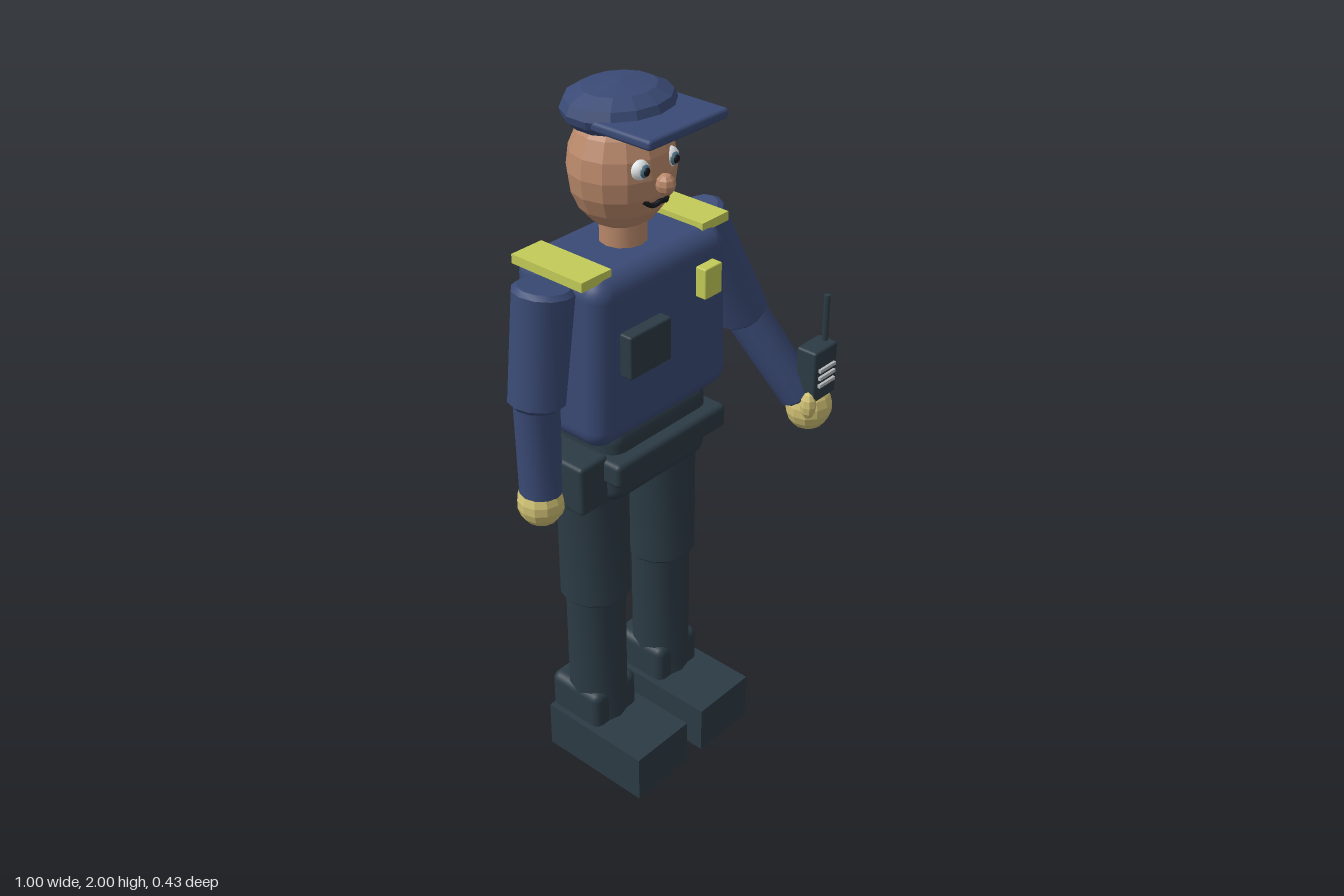
import * as THREE from 'three';
import { toCreasedNormals } from 'three/addons/utils/BufferGeometryUtils.js';
import { RoundedBoxGeometry } from 'three/addons/geometries/RoundedBoxGeometry.js';

const mat = (name, color) => Object.assign(new THREE.MeshStandardMaterial({ color }), { name });

export function createModel() {
  const model = new THREE.Group();
  model.name = 'officer';
  const navy = mat('navy cloth', 0x3a4a75);
  const dark = mat('dark cloth', 0x2c3b45);
  const skin = mat('skin', 0xb9886a);
  const yellow = mat('yellow trim', 0xc3cb58);
  const glove = mat('pale yellow glove', 0xcfc074);
  const white = mat('eye white', 0xe8ecee);
  const iris = mat('eye blue', 0x4f7388);
  const black = mat('black', 0x14161a);
  const grey = mat('grille grey', 0xb4b8ba);

  const MID = -0.105, Z = -0.06; // body centre line

  const add = (name, geometry, material, x = 0, y = 0, z = 0) => {
    const mesh = new THREE.Mesh(geometry, material);
    mesh.name = name;
    mesh.position.set(x, y, z);
    model.add(mesh);
    return mesh;
  };
  // box given by its limits, optionally rounded
  const box = (name, material, [x0, x1], [y0, y1], [z0, z1], r = 0) => add(name,
    r ? new RoundedBoxGeometry(x1 - x0, y1 - y0, z1 - z0, 3, r)
      : new THREE.BoxGeometry(x1 - x0, y1 - y0, z1 - z0),
    material, (x0 + x1) / 2, (y0 + y1) / 2, (z0 + z1) / 2);
  // faceted ellipsoid
  const ball = (name, material, p, [rx, ry, rz], seg = 12, rings = 9) => add(name,
    toCreasedNormals(new THREE.SphereGeometry(1, seg, rings).scale(rx, ry, rz), 0.1), material, ...p);
  // limb with slightly bevelled ends between two points
  const limb = (name, material, from, to, r0, r1 = r0) => {
    const a = new THREE.Vector3(...from), b = new THREE.Vector3(...to);
    const d = b.clone().sub(a), len = d.length(), e = 0.012;
    const profile = [[0, 0], [r0 - e, 0], [r0, e], [r1, len - e], [r1 - e, len], [0, len]];
    const g = new THREE.LatheGeometry(profile.map(p => new THREE.Vector2(...p)), 12);
    const mesh = add(name, toCreasedNormals(g, 0.6), material, ...from);
    mesh.quaternion.setFromUnitVectors(new THREE.Vector3(0, 1, 0), d.normalize());
    return mesh;
  };

  // torso, slightly wider toward the waist
  const torso = new RoundedBoxGeometry(0.5, 0.47, 0.305, 4, 0.055);
  const tp = torso.attributes.position;
  for (let i = 0; i < tp.count; i++) tp.setX(i, tp.getX(i) * (1 - 0.03 * tp.getY(i) / 0.235));
  add('torso', torso, navy, MID, 1.355, -0.0625);

  // hips and belt
  box('hips', dark, [-0.295, 0.085], [0.92, 1.15], [-0.195, 0.073], 0.045);
  box('belt', dark, [-0.318, 0.105], [1.01, 1.08], [-0.2, 0.113], 0.015);
  box('holster', dark, [-0.4, -0.3], [0.945, 1.09], [-0.1, 0.06], 0.012);

  // chest details
  box('chestPocket', dark, [-0.282, -0.132], [1.325, 1.445], [0.088, 0.127], 0.006);
  box('badge', yellow, [0, 0.065], [1.435, 1.52], [0.088, 0.122], 0.004);

  // legs, boots and shoulder boards
  for (const side of [-1, 1]) {
    const tag = side > 0 ? 'left' : 'right';
    const x = MID + side * 0.134;
    limb(tag + 'Thigh', dark, [x, 0.565, Z], [x, 1.03, Z], 0.1);
    limb(tag + 'Shin', dark, [x, 0.12, Z], [x, 0.6, Z], 0.085);
    box(tag + 'BootCuff', dark, [x - 0.085, x + 0.085], [0.09, 0.255], [-0.17, 0.015], 0.025);
    box(tag + 'Boot', dark, [x - 0.102, x + 0.102], [0, 0.145], [-0.16, 0.19]);
    const ex = MID + side * 0.218;
    box(tag + 'ShoulderBoard', yellow, [ex - 0.051, ex + 0.051], [1.58, 1.605], [-0.18, 0.057]);
  }

  // right arm, hanging
  limb('rightUpperArm', navy, [-0.385, 1.565, Z], [-0.428, 1.25, Z], 0.08, 0.075);
  limb('rightForearm', navy, [-0.427, 1.3, Z], [-0.427, 0.98, Z], 0.061, 0.057);
  ball('rightHand', glove, [-0.428, 0.962, Z], [0.064, 0.07, 0.064]);

  // left arm, reaching forward
  limb('leftUpperArm', navy, [0.18, 1.565, -0.068], [0.32, 1.22, -0.012], 0.075);
  limb('leftForearm', navy, [0.315, 1.26, -0.03], [0.415, 0.97, 0.13], 0.063, 0.058);
  ball('leftHand', glove, [0.432, 0.942, 0.147], [0.07, 0.075, 0.066]);
  ball('leftThumb', glove, [0.38, 0.975, 0.183], [0.023, 0.042, 0.024], 8, 6);

  // hand radio
  box('radioBody', dark, [0.38, 0.482], [0.985, 1.145], [0.133, 0.2], 0.008);
  add('radioAntenna', new THREE.CylinderGeometry(0.009, 0.009, 0.15, 8), dark, 0.464, 1.21, 0.167);
  for (let i = 0; i < 3; i++) {
    const y = 1.037 + i * 0.024;
    box('radioGrille', grey, [0.396, 0.466], [y - 0.005, y + 0.005], [0.199, 0.208]);
  }

  // neck and head
  add('neck', new THREE.CylinderGeometry(0.062, 0.062, 0.12, 12), skin, MID, 1.62, Z);
  ball('head', skin, [MID, 1.79, Z], [0.145, 0.165, 0.131], 14, 10);
  ball('nose', skin, [MID, 1.775, 0.082], [0.025, 0.028, 0.026], 8, 6);
  for (const side of [-1, 1]) {
    const x = MID + side * 0.053;
    const eye = (name, m, r, z, depth) =>
      add(name, new THREE.SphereGeometry(r, 12, 8).scale(1, 1, depth / r), m, x, 1.82, z);
    eye('eyeWhite', white, 0.027, 0.046, 0.024);
    eye('eyeIris', iris, 0.017, 0.062, 0.011);
    eye('eyePupil', black, 0.011, 0.069, 0.007);
  }

  // mouth
  const mouth = new THREE.CatmullRomCurve3([[-0.045, 0.008, -0.015], [-0.025, -0.006, -0.003],
    [0, 0, 0.003], [0.025, -0.006, -0.003], [0.045, 0.008, -0.015]].map(p => new THREE.Vector3(...p)));
  add('mouth', new THREE.TubeGeometry(mouth, 16, 0.007, 6), black, MID, 1.728, 0.064);

  // cap: faceted crown and flat peak
  const crown = [[0, 0], [0.125, 0], [0.147, 0.02], [0.153, 0.04], [0.142, 0.065], [0.1, 0.086], [0, 0.097]];
  const crownGeo = new THREE.LatheGeometry(crown.map(p => new THREE.Vector2(...p)), 14).scale(1, 1, 0.88);
  add('capCrown', toCreasedNormals(crownGeo, 0.1), navy, MID, 1.903, -0.066);
  box('capPeak', navy, [-0.246, 0.036], [1.92, 1.947], [-0.03, 0.16], 0.01);

  return model;
}
